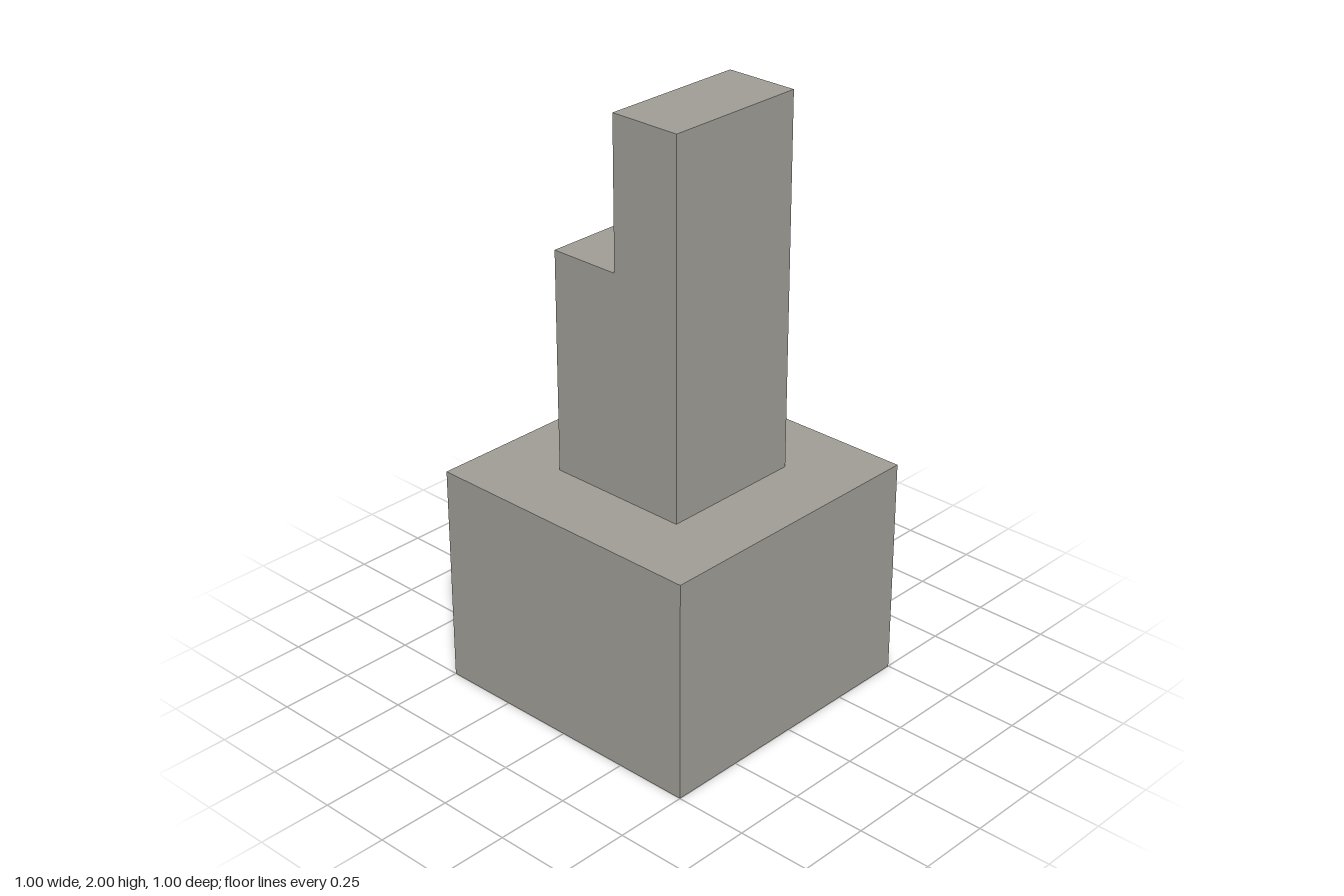
import * as THREE from 'three';

// Box face order: 0 right, 1 left, 2 top, 3 bottom, 4 front, 5 back
const SIDES = [0, 1, 4, 5];

// Thin shell made from the chosen faces of a box standing on y = 0
function shell(w, h, d, faces) {
  const geometry = new THREE.BoxGeometry(w, h, d).translate(0, h / 2, 0);
  const index = Array.from(geometry.index.array);
  geometry.setIndex(faces.flatMap((f) => index.slice(f * 6, f * 6 + 6)));
  geometry.clearGroups();
  return geometry;
}

// Horizontal square outline, as a shape or a hole
function square(path, r) {
  path.moveTo(-r, -r);
  path.lineTo(r, -r);
  path.lineTo(r, r);
  path.lineTo(-r, r);
  path.closePath();
  return path;
}

export function createModel() {
  const group = new THREE.Group();
  const stone = new THREE.MeshStandardMaterial({ color: 0x9f9d96, side: THREE.DoubleSide });
  stone.name = 'grey stone';

  function add(name, geometry, y = 0, z = 0) {
    const mesh = new THREE.Mesh(geometry, stone);
    mesh.name = name;
    mesh.position.set(0, y, z);
    group.add(mesh);
  }

  // Hollow base, open underneath
  add('baseWalls', shell(1, 0.75, 1, SIDES));

  // Flat shoulder around the foot of the tower
  const shoulder = square(new THREE.Shape(), 0.5);
  shoulder.holes.push(square(new THREE.Path(), 0.25));
  add('baseShoulder', new THREE.ShapeGeometry(shoulder).rotateX(-Math.PI / 2), 0.75);

  // Square tower shaft
  add('towerWalls', shell(0.5, 0.75, 0.5, SIDES), 0.75);

  // Ledge on the back half, raised block on the front half
  add('towerLedge', new THREE.PlaneGeometry(0.5, 0.25).rotateX(-Math.PI / 2), 1.5, -0.125);
  add('towerTop', shell(0.5, 0.5, 0.25, [...SIDES, 2]), 1.5, 0.125);

  return group;
}
